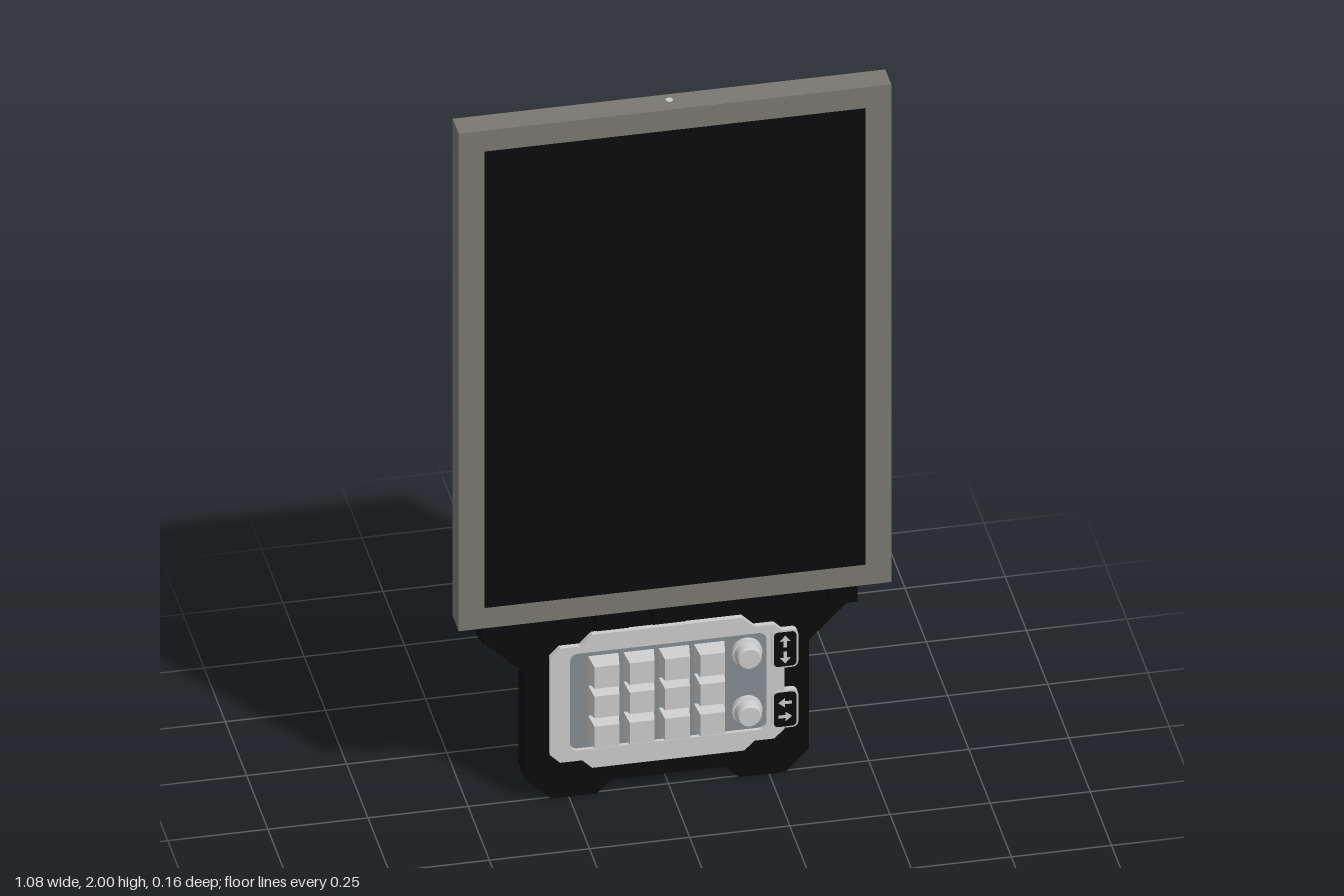
import * as THREE from 'three';

const mat = (color, opts = {}) => new THREE.MeshStandardMaterial({ color, ...opts });
const black = mat(0x0b0b0b);
const frameGrey = mat(0x7a7872);
const light = mat(0xcccccc);
const keyGrey = mat(0xcccccc, { flatShading: true });
const slate = mat(0x858c90);

function add(parent, name, geometry, material, x = 0, y = 0, z = 0) {
  const mesh = new THREE.Mesh(geometry, material);
  mesh.name = name;
  mesh.position.set(x, y, z);
  parent.add(mesh);
  return mesh;
}

const polygon = (pts) => new THREE.Shape(pts.map(([x, y]) => new THREE.Vector2(x, y)));

// box given by its limits
function block(parent, name, material, x0, x1, y0, y1, z0, z1) {
  return add(parent, name, new THREE.BoxGeometry(x1 - x0, y1 - y0, z1 - z0), material,
    (x0 + x1) / 2, (y0 + y1) / 2, (z0 + z1) / 2);
}

// rectangle with rounded corners, centred on the origin
function roundedRect(w, h, r, Type = THREE.Shape) {
  const s = new Type();
  const x = w / 2 - r, y = h / 2 - r;
  s.absarc(x, y, r, 0, Math.PI / 2);
  s.absarc(-x, y, r, Math.PI / 2, Math.PI);
  s.absarc(-x, -y, r, Math.PI, Math.PI * 1.5);
  s.absarc(x, -y, r, Math.PI * 1.5, Math.PI * 2);
  s.closePath();
  return s;
}

const flat = (shape, depth) => new THREE.ExtrudeGeometry(shape, { depth, bevelEnabled: false, curveSegments: 6 });

// holder silhouette with a cable slot cut from the top down to slotFloor
const holderShape = (slotFloor) => polygon([
  [-0.295, 0], [-0.18, 0], [-0.145, 0.035], [0.14, 0.035], [0.175, 0], [0.29, 0],
  [0.35, 0.06], [0.35, 0.375], [0.46, 0.485], [0.46, 0.72],
  [0.18, 0.72], [0.18, slotFloor], [0.12, slotFloor], [0.12, 0.72],
  [-0.475, 0.72], [-0.475, 0.485], [-0.36, 0.37], [-0.36, 0.065],
]);

function makeScreen() {
  const g = new THREE.Group();
  g.name = 'screen';
  block(g, 'screenFrame', frameGrey, -0.54, 0.54, 0.56, 2, 0.007, 0.077);
  block(g, 'display', black, -0.475, 0.475, 0.62, 1.94, 0.07, 0.079);
  add(g, 'topPin', new THREE.CylinderGeometry(0.009, 0.009, 0.01, 16), light, -0.005, 1.996, 0.033);
  return g;
}

function makeHolder() {
  const g = new THREE.Group();
  g.name = 'holder';
  const bevel = 0.012;
  const body = new THREE.ExtrudeGeometry(holderShape(0.38), {
    depth: 0.08 - 2 * bevel, bevelThickness: bevel, bevelSize: bevel, bevelOffset: -bevel, bevelSegments: 1,
  });
  add(g, 'holderBody', body, black, 0, 0, -0.08 + bevel);
  add(g, 'holderFront', flat(holderShape(0.56), 0.019), black, 0, 0, -0.012);
  // ledge tabs under the screen
  for (const [x0, x1] of [[-0.475, -0.4], [-0.19, -0.11], [-0.05, 0.03], [0.39, 0.46]]) {
    block(g, 'ledgeTab', black, x0, x1, 0.5, 0.56, 0, 0.055);
  }
  block(g, 'cablePlug', slate, 0.12, 0.18, 0.36, 0.42, -0.06, 0);
  return g;
}

function makeKeypad() {
  const g = new THREE.Group();
  g.name = 'keypad';

  // faceplate with stepped corners and a window for the keys
  const plate = polygon([
    [-0.3, 0.135], [-0.275, 0.11], [-0.22, 0.11], [-0.195, 0.085], [0.185, 0.085], [0.21, 0.11],
    [0.26, 0.11], [0.285, 0.135], [0.285, 0.415], [0.26, 0.44], [0.21, 0.44], [0.18, 0.47],
    [-0.195, 0.47], [-0.225, 0.44], [-0.275, 0.44], [-0.3, 0.415],
  ]);
  const hole = roundedRect(0.49, 0.28, 0.02, THREE.Path).getPoints(6);
  plate.holes.push(new THREE.Path(hole.map((p) => new THREE.Vector2(p.x - 0.005, p.y + 0.28))));
  add(g, 'faceplate', flat(plate, 0.022), light, 0, 0, 0);
  block(g, 'keyBed', slate, -0.26, 0.25, 0.13, 0.43, 0, 0.012);

  // tapered square keys
  const key = new THREE.CylinderGeometry(0.044, 0.054, 0.045, 4);
  key.rotateY(Math.PI / 4).rotateX(Math.PI / 2);
  for (const y of [0.365, 0.28, 0.193]) {
    for (let c = 0; c < 4; c++) add(g, 'key', key, keyGrey, -0.165 + c * 0.088, y, 0.032);
  }

  // turning knobs
  const knob = new THREE.LatheGeometry(
    [[0.038, 0], [0.038, 0.012], [0.033, 0.014], [0.031, 0.036], [0.027, 0.041], [0, 0.041]]
      .map(([r, h]) => new THREE.Vector2(r, h)), 28);
  knob.rotateX(Math.PI / 2);
  const knobMat = mat(0xcccccc, { side: THREE.DoubleSide, flatShading: true });
  for (const y of [0.367, 0.2]) add(g, 'knob', knob, knobMat, 0.192, y, 0.012);
  return g;
}

// dark tags beside the knobs, each with a light rim and two opposed arrows
function makeTag(name, y, turn) {
  const g = new THREE.Group();
  g.name = name;
  g.position.set(0.286, y, 0.007);
  add(g, 'tagRim', flat(roundedRect(0.066, 0.108, 0.014), 0.017), light);
  add(g, 'tagFace', flat(roundedRect(0.056, 0.098, 0.011), 0.019), black);
  const arrow = flat(polygon([[-0.004, 0], [0.004, 0], [0.004, 0.018], [0.013, 0.018],
    [0, 0.034], [-0.013, 0.018], [-0.004, 0.018]]), 0.002);
  for (const s of [1, -1]) {
    const a = add(g, 'arrow', arrow, light, 0, 0, 0.0185);
    a.rotation.z = (s > 0 ? 0 : Math.PI) + turn;
    if (turn) a.position.set(s * 0.017, s * 0.02, 0.0185);
    else a.position.y = s * 0.006;
  }
  return g;
}

export function createModel() {
  const model = new THREE.Group();
  model.name = 'screenWithKeypad';
  model.add(makeScreen(), makeHolder(), makeKeypad(),
    makeTag('upperTag', 0.367, 0), makeTag('lowerTag', 0.193, Math.PI / 2));
  return model;
}
